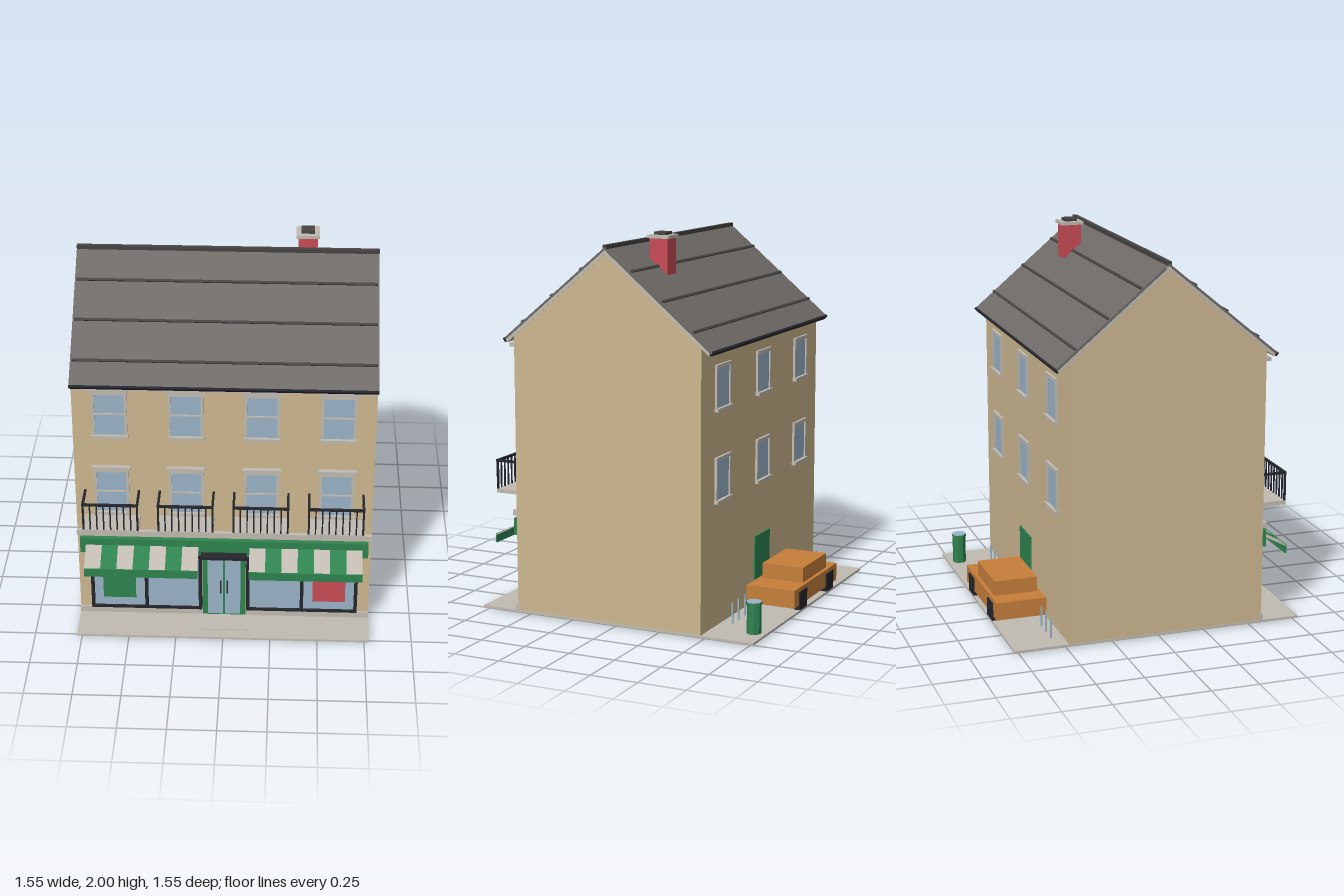
import * as THREE from 'three';

const mat = (name, color) => {
  const m = new THREE.MeshStandardMaterial({ color });
  m.name = name;
  return m;
};

export function createModel() {
  const M = {
    wall: mat('tan render', 0xcdb78f),
    stone: mat('pale stone', 0xc1bbb2),
    slate: mat('roof slate', 0x6e6b68),
    seam: mat('dark slate', 0x454442),
    glass: mat('blue glass', 0x9ab4c8),
    green: mat('shop green', 0x2f8450),
    iron: mat('black iron', 0x25262d),
    red: mat('brick red', 0xc94c55),
    orange: mat('car orange', 0xc67e3a),
  };
  const root = new THREE.Group();
  root.name = 'townhouse';

  const group = (name, parent = root) => {
    const g = new THREE.Group();
    g.name = name;
    parent.add(g);
    return g;
  };
  // Box given by its limits on each axis
  const box = (parent, name, m, x0, x1, y0, y1, z0, z1) => {
    const mesh = new THREE.Mesh(new THREE.BoxGeometry(x1 - x0, y1 - y0, z1 - z0), m);
    mesh.position.set((x0 + x1) / 2, (y0 + y1) / 2, (z0 + z1) / 2);
    mesh.name = name;
    parent.add(mesh);
    return mesh;
  };

  const W = 0.775, F = 0.565, B = -0.488, RZ = 0.038;

  // Pavement and doorstep
  box(root, 'pavement', M.stone, -W, W, 0.008, 0.02, -0.775, 0.775);
  box(root, 'doorstep', M.stone, -0.14, 0.14, 0, 0.024, F, 0.71);

  // Gabled walls, extruded across the width
  const gable = new THREE.Shape();
  gable.moveTo(-F, 0.02);
  gable.lineTo(-B, 0.02);
  gable.lineTo(-B, 1.469);
  gable.lineTo(-RZ, 1.909);
  gable.lineTo(-F, 1.469);
  const wallGeo = new THREE.ExtrudeGeometry(gable, { depth: 2 * W - 0.004, bevelEnabled: false });
  wallGeo.rotateY(Math.PI / 2).translate(-W + 0.002, 0, 0);
  const walls = new THREE.Mesh(wallGeo, M.wall);
  walls.name = 'walls';
  root.add(walls);

  // Two roof slopes with seams and gutters
  const roof = group('roof');
  const angle = Math.atan2(0.49, 0.587), L = Math.hypot(0.49, 0.587);
  for (const turn of [0, Math.PI]) {
    const side = group(turn ? 'backSlope' : 'frontSlope', roof);
    side.position.set(0, 1.945, RZ);
    side.rotation.y = turn;
    const slope = group('slope', side);
    slope.rotation.x = angle;
    box(slope, 'slates', M.slate, -W, W, -0.012, 0, 0, L);
    box(slope, 'roofBoard', M.stone, -W, W, -0.028, -0.012, 0, L - 0.005);
    for (const s of [0.178, 0.398, 0.618]) box(slope, 'seam', M.seam, -W + 0.008, W - 0.008, 0, 0.008, s, s + 0.013);
    box(slope, 'gutter', M.iron, -W, W, -0.02, 0.002, L - 0.006, L + 0.006);
  }
  box(roof, 'ridgeCap', M.seam, -W, W, 1.932, 1.955, RZ - 0.012, RZ + 0.012);

  // Chimney
  const chimney = group('chimney');
  box(chimney, 'stack', M.red, 0.36, 0.46, 1.7, 1.97, -0.155, -0.055);
  box(chimney, 'chimneyCap', M.stone, 0.35, 0.47, 1.968, 1.985, -0.167, -0.045);
  box(chimney, 'flue', M.seam, 0.375, 0.445, 1.985, 2, -0.14, -0.073);

  // Stone courses across the front
  box(root, 'plinth', M.stone, -W, W, 0.02, 0.055, F - 0.01, 0.575);
  box(root, 'stringCourse', M.stone, -W, W, 0.528, 0.557, F - 0.01, 0.587);
  box(root, 'eavesCornice', M.stone, -W, W, 1.415, 1.435, F - 0.01, 0.59);

  // Framed window, built facing +z with its sill at y = 0
  const makeWindow = (parent, x, y, z, h, fancy) => {
    const w = group('window', parent);
    w.position.set(x, y, z);
    box(w, 'glass', M.glass, -0.08, 0.08, 0.012, h, -0.005, 0.004);
    for (const s of [-1, 1]) box(w, 'jamb', M.stone, s * 0.083 - 0.007, s * 0.083 + 0.007, 0.01, h, 0, 0.012);
    box(w, 'sill', M.stone, -0.094, 0.094, 0, 0.017, 0, 0.022);
    box(w, 'head', M.stone, -0.09, 0.09, h - 0.006, h + 0.012, 0, 0.014);
    if (fancy) {
      box(w, 'transom', M.stone, -0.078, 0.078, 0.136, 0.144, 0, 0.01);
      box(w, 'headCornice', M.stone, -0.1, 0.1, h + 0.01, h + 0.03, 0, 0.024);
    }
    return w;
  };

  // Front windows and balconies
  for (const x of [-0.582, -0.194, 0.194, 0.582]) {
    makeWindow(root, x, 1.125, F, 0.26, true);
    makeWindow(root, x, 0.66, F, 0.265, true);
    const b = group('balcony');
    b.position.x = x;
    box(b, 'balconySlab', M.stone, -0.143, 0.143, 0.627, 0.648, F, 0.71);
    box(b, 'frontRail', M.iron, -0.146, 0.146, 0.793, 0.805, 0.699, 0.711);
    for (const s of [-1, 1]) box(b, 'sideRail', M.iron, s * 0.14 - 0.006, s * 0.14 + 0.006, 0.793, 0.805, F, 0.705);
    for (let i = 0; i < 9; i++) {
      const bx = -0.14 + i * 0.035, r = i % 8 ? 0.0035 : 0.005;
      box(b, 'baluster', M.iron, bx - r, bx + r, 0.648, 0.795, 0.705 - r, 0.705 + r);
    }
  }

  // Shop sign band and canopy over the door
  const shop = group('shopFront');
  box(shop, 'signBand', M.green, -0.76, 0.76, 0.42, 0.51, F - 0.01, 0.59);
  box(shop, 'doorCanopy', M.iron, -0.12, 0.12, 0.422, 0.437, F, 0.64);

  // Shop windows, posters and striped awnings on both sides
  for (const s of [-1, 1]) {
    const bay = group(s < 0 ? 'rightBay' : 'leftBay', shop);
    const c = s * 0.415;
    box(bay, 'shopGlass', M.glass, c - 0.295, c + 0.295, 0.06, 0.4, F - 0.005, 0.57);
    for (const p of [-0.288, 0, 0.288]) box(bay, 'mullion', M.iron, c + p - 0.009, c + p + 0.009, 0.055, 0.4, F, 0.582);
    for (const y of [0.055, 0.385]) box(bay, 'frameRail', M.iron, c - 0.295, c + 0.295, y, y + 0.014, F, 0.581);
    box(bay, 'poster', s < 0 ? M.green : M.red, s * 0.56 - 0.087, s * 0.56 + 0.087, 0.12, 0.335, 0.569, 0.574);
    const awning = group('awning', bay);
    awning.position.set(s * 0.432, 0.475, 0.58);
    const cloth = group('cloth', awning);
    cloth.rotation.x = Math.atan2(0.073, 0.14);
    const sw = 0.595 / 7;
    for (let i = 0; i < 7; i++) {
      const x = -0.2975 + i * sw;
      box(cloth, 'stripe', i % 2 ? M.green : M.stone, x, x + sw, -0.006, 0, 0, 0.158);
    }
    box(awning, 'valance', M.green, -0.2975, 0.2975, -0.117, -0.07, 0.133, 0.141);
  }

  // Double front door
  const door = group('frontDoor', shop);
  box(door, 'doorLeaf', M.green, -0.115, 0.115, 0.022, 0.41, F - 0.005, 0.578);
  for (const s of [-1, 1]) {
    box(door, 'doorGlass', M.glass, s * 0.046 - 0.041, s * 0.046 + 0.041, 0.032, 0.385, 0.575, 0.582);
    box(door, 'doorHandle', M.iron, s * 0.018 - 0.004, s * 0.018 + 0.004, 0.17, 0.25, 0.582, 0.59);
  }

  // Back windows and back door
  const back = group('backWall');
  back.rotation.y = Math.PI;
  for (const x of [-0.52, 0, 0.52])
    for (const y of [0.66, 1.13]) makeWindow(back, x, y, -B, 0.225, false);
  box(back, 'backDoor', M.green, -0.1, 0.1, 0.02, 0.375, -B - 0.005, -B + 0.008);

  // Parked car
  const car = group('car');
  box(car, 'carBody', M.orange, -0.405, 0.215, 0.045, 0.14, -0.768, -0.497);
  box(car, 'cabin', M.orange, -0.295, 0.045, 0.14, 0.22, -0.748, -0.515);
  for (const x of [-0.29, 0.1])
    for (const z of [-0.756, -0.512]) box(car, 'wheel', M.iron, x - 0.05, x + 0.05, 0.02, 0.118, z - 0.019, z + 0.019);

  // Litter bin with a metal lid
  const bin = group('litterBin');
  bin.position.set(0.618, 0, -0.712);
  const drum = (name, m, r, y0, y1) => {
    const geo = new THREE.CylinderGeometry(r, r, y1 - y0, 8).toNonIndexed();
    geo.computeVertexNormals();
    const mesh = new THREE.Mesh(geo, m);
    mesh.name = name;
    mesh.rotation.y = Math.PI / 8;
    mesh.position.y = (y0 + y1) / 2;
    bin.add(mesh);
  };
  drum('binBody', M.green, 0.037, 0.02, 0.172);
  drum('binRim', M.green, 0.041, 0.172, 0.183);
  drum('binLid', M.glass, 0.04, 0.183, 0.187);

  // Thin kerb posts
  for (const x of [0.52, 0.44, 0.355, -0.49, -0.575, -0.66])
    box(root, 'kerbPost', M.glass, x - 0.004, x + 0.004, 0.02, 0.13, -0.554, -0.546);

  return root;
}
